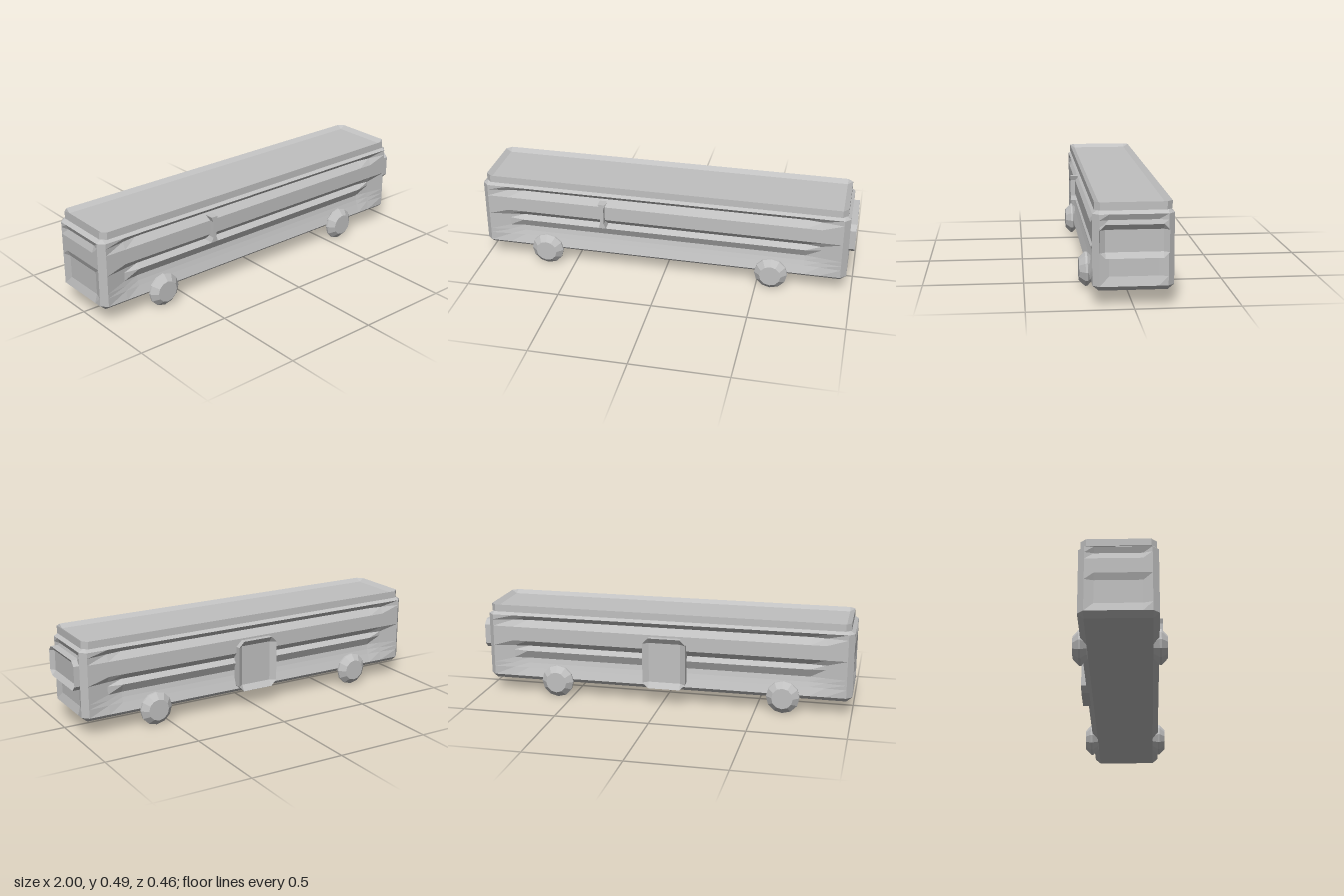
import * as THREE from 'three';

const grey = new THREE.MeshStandardMaterial({ color: 0xc0c0c0 });
grey.name = 'plain grey';

// Flat-faced skin over mirrored rings of [x, y, z] points, ordered along +x, with strip caps
function loft(rings) {
  const n = rings[0].length, pos = [], idx = [];
  rings.forEach(r => r.forEach(p => pos.push(...p)));
  for (let i = 0; i < rings.length - 1; i++) {
    for (let j = 0; j < n; j++) {
      const k = (j + 1) % n, a = i * n, b = a + n;
      idx.push(a + j, b + j, b + k, a + j, b + k, a + k);
    }
  }
  const e = (rings.length - 1) * n;
  for (let j = 0; j < n / 2 - 1; j++) {
    const k = j + 1, p = n - 1 - j, q = p - 1;
    idx.push(j, k, q, j, q, p, e + j, e + q, e + k, e + j, e + p, e + q);
  }
  const g = new THREE.BufferGeometry();
  g.setAttribute('position', new THREE.Float32BufferAttribute(pos, 3));
  g.setIndex(idx);
  return flat(g);
}

function flat(geometry) {
  const g = geometry.toNonIndexed();
  g.computeVertexNormals();
  return g;
}

// Half section of the body: y, z, groove depth, how far the rib fills the groove, end panel depth
const PROFILE = [
  [0.075, 0.16, 0, 0, 0], [0.10, 0.19, 0, 0, 0], [0.145, 0.19, 0.016, 0, 0.013],
  [0.17, 0.19, 0.024, 0, 0.013], [0.197, 0.19, 0.03, 0, 0.013], [0.242, 0.19, 0.03, 0.024, 0.013],
  [0.265, 0.19, 0.03, 0, 0.013], [0.298, 0.19, 0, 0, 0], [0.375, 0.19, 0, 0, 0],
  [0.41, 0.19, 0.03, 0, 0.013], [0.438, 0.19, 0, 0, 0], [0.458, 0.16, 0, 0, 0],
];

const mirrorZ = half => [...half, ...half.slice().reverse().map(([x, y, z]) => [x, y, -z])];

function sideRing(x, groove, rib) {
  return mirrorZ(PROFILE.map(([y, z, d, r]) => [x, y, z - d * groove + r * rib]));
}

function endRing(x, z, inward) {
  return mirrorZ(PROFILE.map(([y, , , , d]) =>
    [x + d * inward, THREE.MathUtils.clamp(y, 0.10, 0.438), z]));
}

function bodyGeometry() {
  return loft([
    endRing(-1.0, 0.115, 1),
    endRing(-1.0, 0.16, 0),
    sideRing(-0.97, 0, 0),
    sideRing(-0.86, 0.62, 0),
    sideRing(-0.78, 1, 1),
    sideRing(0.75, 1, 1),
    sideRing(0.83, 0.62, 0),
    sideRing(0.94, 0, 0),
    endRing(0.97, 0.16, 0),
    endRing(0.97, 0.115, -1),
  ]);
}

// Block with cut corners facing +x, its front face sunk in by `dent`
function dentedBlock(w, h, depth, cut, dent) {
  const ring = (x, inner) => {
    const a = w / 2, b = h / 2, c = a - cut, d = b - cut;
    const half = inner
      ? [[x, -d, c], [x, -d, c], [x, d, c], [x, d, c]]
      : [[x, -b, c], [x, -d, a], [x, d, a], [x, b, c]];
    return mirrorZ(half);
  };
  return loft([ring(0, false), ring(depth, false), ring(depth - dent, true)]);
}

// Upright bar with a narrow waist between two wide ends, lofted along +x
function waistedBar(length, width, depth) {
  const ring = (x, w) => mirrorZ([[x, -w / 2, depth / 2], [x, w / 2, depth / 2]]);
  const end = length / 2, waist = end - 0.026;
  return loft([ring(-end, width), ring(-waist, width / 2), ring(waist, width / 2), ring(end, width)]);
}

export function createModel() {
  const model = new THREE.Group();
  model.name = 'bus';
  const add = (name, geometry, x = 0, y = 0, z = 0) => {
    const mesh = new THREE.Mesh(geometry, grey);
    mesh.name = name;
    mesh.position.set(x, y, z);
    model.add(mesh);
    return mesh;
  };

  // Ribbed body and roof slab with a sunken top
  add('body', bodyGeometry());
  add('roof', dentedBlock(0.362, 1.935, 0.038, 0.027, 0.018), -0.0125, 0.454, 0)
    .rotation.z = Math.PI / 2;

  // Windscreen at the driving end
  add('windscreen', dentedBlock(0.32, 0.157, 0.065, 0.026, 0.02), 0.935, 0.3175, 0);

  // Door on the back side
  add('door', dentedBlock(0.23, 0.275, 0.05, 0.03, 0.022), -0.015, 0.2275, -0.17)
    .rotation.y = Math.PI / 2;

  // Small upright handle on the front side
  add('handle', waistedBar(0.14, 0.04, 0.055), -0.33, 0.331, 0.1875).rotation.z = Math.PI / 2;

  // Four bevelled wheels
  const rim = [[0, -0.035], [0.056, -0.035], [0.0875, -0.005], [0.0875, 0.005], [0.056, 0.035], [0, 0.035]];
  const wheel = flat(new THREE.LatheGeometry(rim.map(([r, y]) => new THREE.Vector2(r, y)), 12));
  for (const x of [-0.645, 0.578]) {
    for (const side of [1, -1]) {
      add(`${side > 0 ? 'front' : 'back'}SideWheel`, wheel, x, 0.0875, side * 0.195)
        .rotation.x = Math.PI / 2;
    }
  }
  return model;
}
